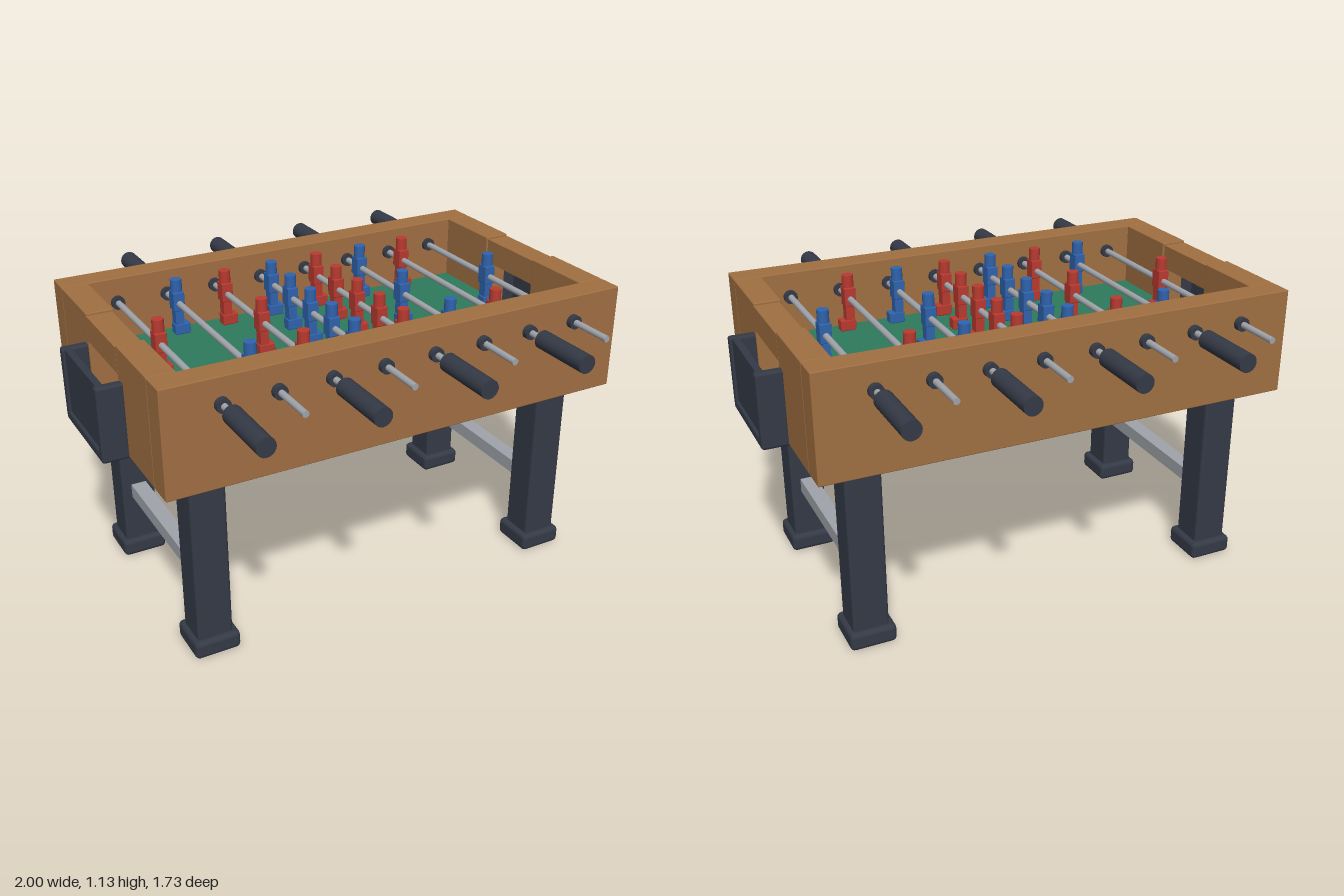
import * as THREE from 'three';
import { RoundedBoxGeometry } from 'three/addons/geometries/RoundedBoxGeometry.js';

const mat = (name, color) => {
  const m = new THREE.MeshStandardMaterial({ color });
  m.name = name;
  return m;
};

export function createModel() {
  const wood = mat('wood', 0xa06f42);
  const dark = mat('dark plastic', 0x343a46);
  const green = mat('green field', 0x2e7a5c);
  const metal = mat('metal', 0xa0a4aa);
  const red = mat('red', 0xb83a30);
  const blue = mat('blue', 0x2f63ad);

  const table = new THREE.Group();
  table.name = 'footballTable';

  const group = (name) => {
    const g = new THREE.Group();
    g.name = name;
    table.add(g);
    return g;
  };

  // Box given by its limits on each axis, with softly rounded edges if r > 0
  const box = (parent, name, material, [x0, x1], [y0, y1], [z0, z1], r = 0) => {
    const size = [x1 - x0, y1 - y0, z1 - z0];
    const geo = r ? new RoundedBoxGeometry(...size, 2, r) : new THREE.BoxGeometry(...size);
    const m = new THREE.Mesh(geo, material);
    m.name = name;
    m.position.set((x0 + x1) / 2, (y0 + y1) / 2, (z0 + z1) / 2);
    parent.add(m);
  };

  // Cylinder lying along z
  const bar = (parent, name, material, r, z0, z1, sides = 20) => {
    const geo = new THREE.CylinderGeometry(r, r, Math.abs(z1 - z0), sides).rotateX(Math.PI / 2);
    const m = new THREE.Mesh(geo, material);
    m.name = name;
    m.position.z = (z0 + z1) / 2;
    parent.add(m);
  };

  // Limits mirrored to the chosen side
  const span = (s, a, b) => (s > 0 ? [a, b] : [-b, -a]);

  // Cabinet: long sides, split end walls with a bridge over each goal, playing field
  const cabinet = group('cabinet');
  for (const s of [1, -1]) {
    box(cabinet, 'longSide', wood, [-0.905, 0.905], [0.735, 1.135], span(s, 0.437, 0.538), 0.004);
    for (const t of [1, -1])
      box(cabinet, 'endWall', wood, span(s, 0.803, 0.905), [0.735, 1.135], span(t, 0.152, 0.437), 0.004);
    box(cabinet, 'goalBridge', wood, span(s, 0.81, 0.905), [1.03, 1.126], [-0.153, 0.153]);
  }
  box(cabinet, 'field', green, [-0.806, 0.806], [0.85, 0.89], [-0.438, 0.438]);

  // Goal boxes: open-topped trays with a raised U-shaped rim outside
  for (const s of [1, -1]) {
    const goal = group('goalBox');
    box(goal, 'goalFloor', dark, span(s, 0.84, 1), [0.729, 0.77], [-0.2, 0.2], 0.012);
    box(goal, 'goalBack', dark, span(s, 0.965, 0.99), [0.75, 1.012], [-0.19, 0.19]);
    for (const t of [1, -1])
      box(goal, 'goalSide', dark, span(s, 0.9, 1), [0.745, 1.014], span(t, 0.163, 0.2), 0.01);
  }

  // Legs with feet, and a crossbar joining each pair
  for (const s of [1, -1]) {
    const legs = group('legPair');
    for (const t of [1, -1]) {
      box(legs, 'leg', dark, span(s, 0.655, 0.79), [0.03, 0.855], span(t, 0.305, 0.438), 0.012);
      box(legs, 'foot', dark, span(s, 0.633, 0.808), [0, 0.07], span(t, 0.284, 0.46), 0.018);
    }
    box(legs, 'crossbar', metal, span(s, 0.692, 0.752), [0.262, 0.318], [-0.31, 0.31]);
  }

  // Player standing on the rod, foot pointing to +x, rod at its origin
  const addPlayer = (rod, material, z) => {
    const p = new THREE.Group();
    p.name = 'player';
    p.position.z = z;
    rod.add(p);
    box(p, 'torso', material, [-0.022, 0.022], [-0.03, 0.045], [-0.026, 0.026], 0.004);
    box(p, 'legs', material, [-0.016, 0.018], [-0.11, -0.028], [-0.019, 0.019]);
    box(p, 'boots', material, [-0.02, 0.042], [-0.128, -0.085], [-0.021, 0.021], 0.004);
    const head = new THREE.Mesh(new THREE.CylinderGeometry(0.022, 0.022, 0.05, 16), material);
    head.name = 'head';
    head.position.y = 0.067;
    p.add(head);
  };

  // Rods: team and player positions, handles on alternating sides
  const layouts = {
    1: [0],
    2: [-0.33, 0.33],
    3: [-0.33, 0, 0.33],
    5: [-0.33, -0.165, 0, 0.165, 0.33],
  };
  [1, 2, 3, 5, 5, 3, 2, 1].forEach((count, i) => {
    const s = i % 2 ? -1 : 1;
    const rod = group('playerRod');
    rod.position.set(-0.698 + i * 0.1994, 1.04, 0);
    bar(rod, 'rod', metal, 0.012, -s * 0.73, s * 0.64, 16);
    bar(rod, 'handle', dark, 0.034, s * 0.62, s * 0.863);
    for (const t of [1, -1]) {
      bar(rod, 'outerBearing', dark, 0.026, t * 0.53, t * 0.561);
      bar(rod, 'innerBearing', dark, 0.026, t * 0.42, t * 0.445);
    }
    for (const z of layouts[count]) addPlayer(rod, s > 0 ? red : blue, z);
  });

  return table;
}
